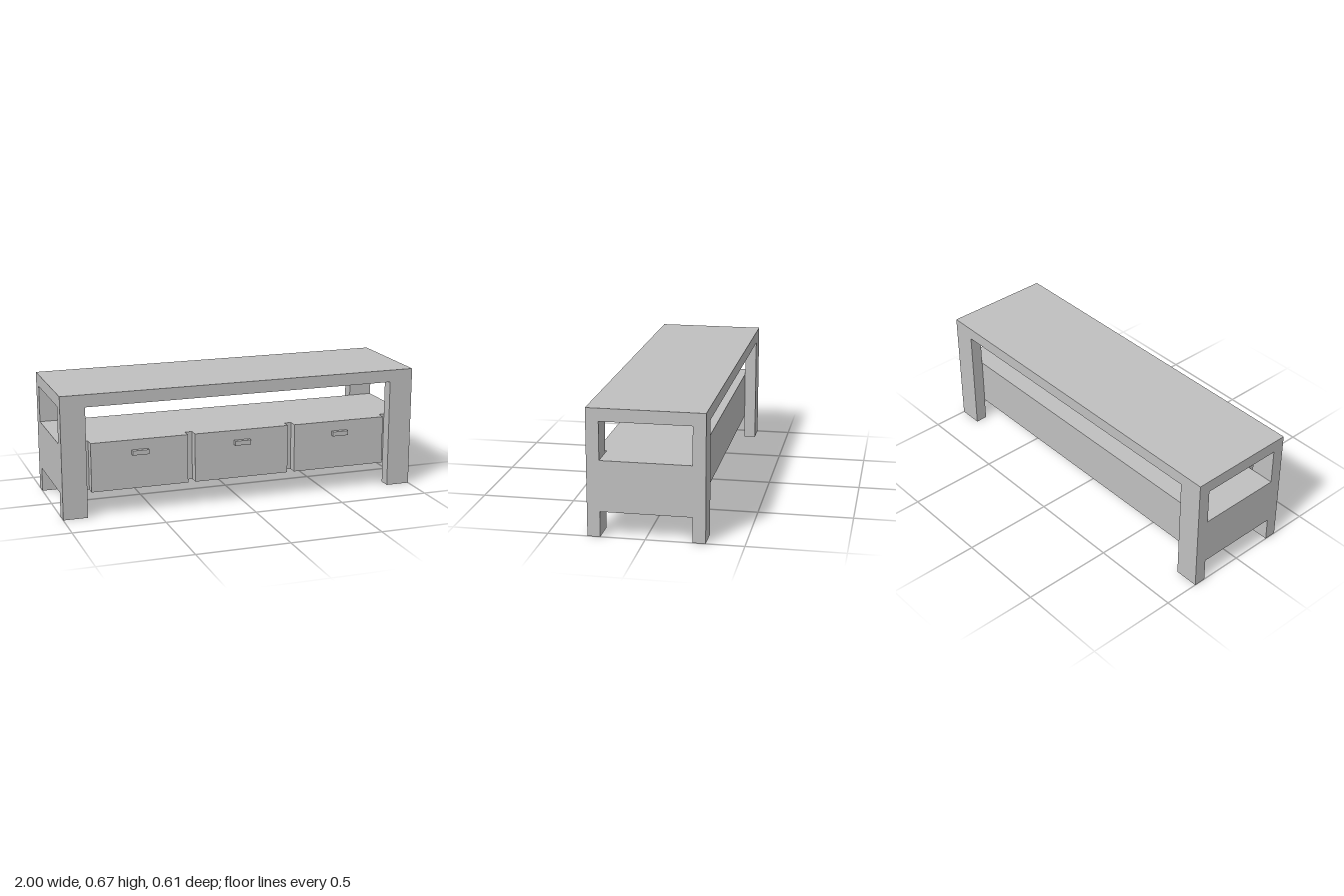
import * as THREE from 'three';

export function createModel() {
  const model = new THREE.Group();
  model.name = 'benchWithDrawers';
  const grey = new THREE.MeshStandardMaterial({ color: 0xc0c0c0 });
  grey.name = 'plain grey';

  // Box given by its extents along each axis
  function box(name, [x0, x1], [y0, y1], [z0, z1]) {
    const mesh = new THREE.Mesh(new THREE.BoxGeometry(x1 - x0, y1 - y0, z1 - z0), grey);
    mesh.position.set((x0 + x1) / 2, (y0 + y1) / 2, (z0 + z1) / 2);
    mesh.name = name;
    model.add(mesh);
  }

  const back = -0.305, front = 0.295, legDepth = 0.066, legWidth = 0.133;
  const top = 0.667, topUnder = 0.6, bodyTop = 0.4, bodyBottom = 0.133;
  const innerBack = back + legDepth, innerFront = front - legDepth;

  // Top slab, flush with the legs
  box('tableTop', [-1, 1], [topUnder, top], [back, front]);

  // Four corner legs
  for (const side of [-1, 1]) {
    const x = side < 0 ? [-1, -1 + legWidth] : [1 - legWidth, 1];
    box('backLeg', x, [0, topUnder], [back, innerBack]);
    box('frontLeg', x, [0, topUnder], [innerFront, front]);
  }

  // Drawer carcass between the front and back legs
  box('cabinetBody', [-1, 1], [bodyBottom, bodyTop], [innerBack, innerFront]);

  // Three drawer fronts with handles
  for (const i of [-1, 0, 1]) {
    const x = -0.003 + i * 0.572;
    box('drawerFront', [x - 0.266, x + 0.266], [bodyBottom, bodyTop], [innerFront, 0.282]);
    box('drawerHandle', [x - 0.045, x + 0.045], [0.32, 0.345], [0.282, 0.306]);
  }
  return model;
}
